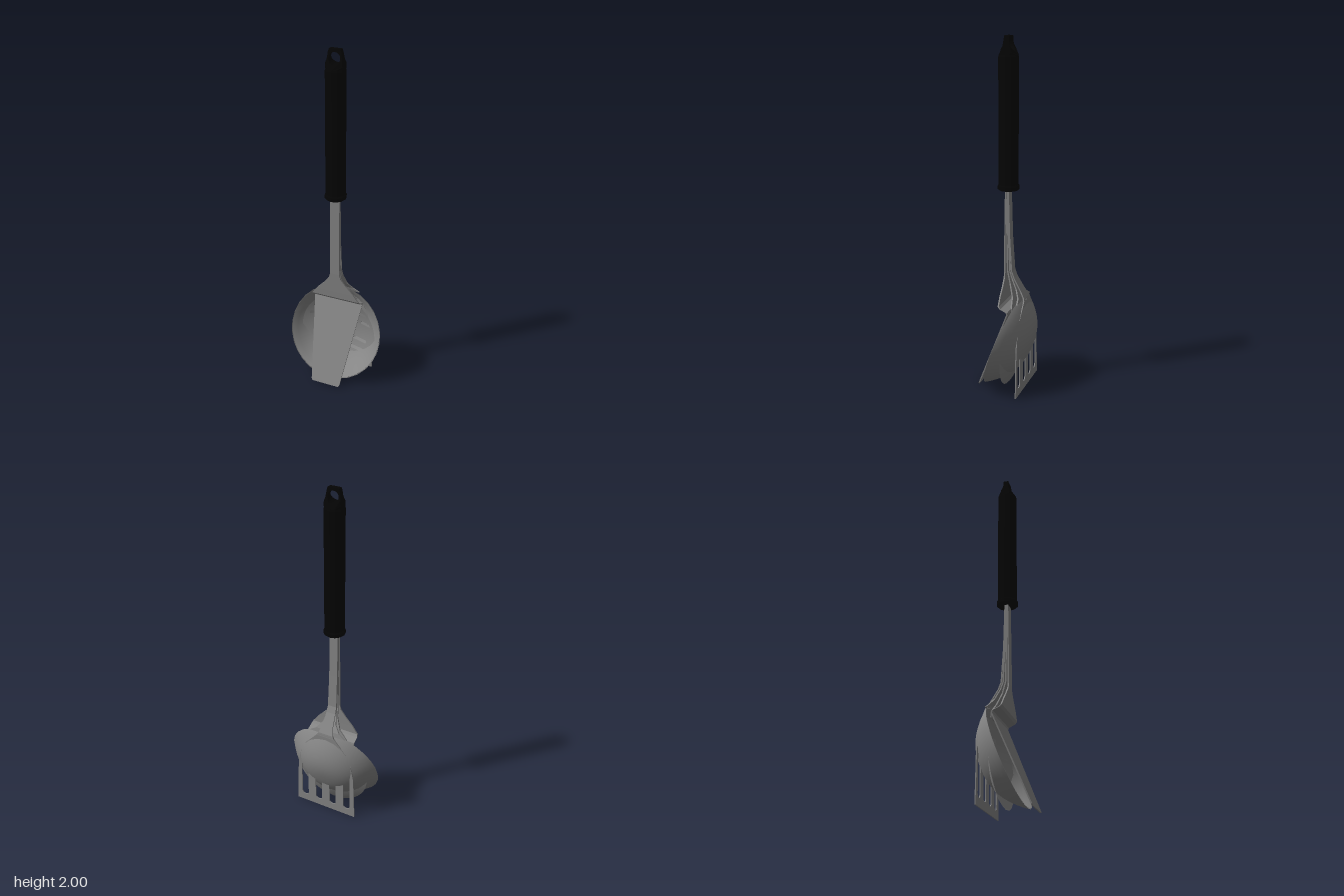
import * as THREE from 'three';

const steel = new THREE.MeshStandardMaterial({ color: 0x858585, side: THREE.DoubleSide });
const steelFlat = new THREE.MeshStandardMaterial({ color: 0x858585, flatShading: true });
const black = new THREE.MeshStandardMaterial({ color: 0x040404, flatShading: true });

function part(name, geometry, material, parent) {
  const mesh = new THREE.Mesh(geometry, material);
  mesh.name = name;
  parent.add(mesh);
  return mesh;
}

// Bent metal strip lofted through [y, z, halfWidth] sections from top to bottom
function strip(sections, t = 0.004) {
  const pos = [], index = [];
  sections.forEach(([y, z, w], i) => {
    pos.push(-w, y, z + t, w, y, z + t, w, y, z - t, -w, y, z - t);
    if (!i) return;
    const a = (i - 1) * 4, b = i * 4;
    for (let k = 0; k < 4; k++) {
      const n = (k + 1) % 4;
      index.push(a + k, b + k, b + n, a + k, b + n, a + n);
    }
  });
  const e = (sections.length - 1) * 4;
  index.push(0, 1, 2, 0, 2, 3, e, e + 2, e + 1, e, e + 3, e + 2);
  const g = new THREE.BufferGeometry();
  g.setAttribute('position', new THREE.Float32BufferAttribute(pos, 3));
  g.setIndex(index);
  g.computeVertexNormals();
  return g;
}

// Shallow oval bowl on a grid, with cells left out for two columns of slots
function slottedBowl() {
  const rows = 48, cols = 32, pos = [], index = [];
  const slotRows = [13, 19, 31, 37];
  for (let i = 0; i <= rows; i++) {
    const v = (i / rows) * 2 - 1;
    const half = 0.235 * Math.sqrt(Math.max(0, 1 - v * v));
    for (let j = 0; j <= cols; j++) {
      const u = (j / cols) * 2 - 1;
      const depth = 0.06 * (1 - v * v) * (1 - u * u);
      pos.push(u * half, 0.255 + 0.242 * v, -0.034 - 0.025 * v - depth);
      if (i === rows || j === cols) continue;
      const um = Math.abs(u + 1 / cols);
      const inSlotRow = slotRows.some((r) => i === r || i === r + 1);
      if (inSlotRow && um > 0.12 && um < (v < 0 ? 0.75 : 0.85)) continue;
      const a = i * (cols + 1) + j, b = a + cols + 1;
      index.push(a, a + 1, b + 1, a, b + 1, b);
    }
  }
  const g = new THREE.BufferGeometry();
  g.setAttribute('position', new THREE.Float32BufferAttribute(pos, 3));
  g.setIndex(index);
  g.computeVertexNormals();
  return g;
}

// Flat blade with four rounded upright slots
function slottedBlade() {
  const side = [[0.195, 0.003], [0.185, 0.28], [0.165, 0.38], [0.13, 0.45], [0.085, 0.5], [0.05, 0.54]];
  const outline = [...side, ...side.map(([x, y]) => [-x, y]).reverse()];
  const shape = new THREE.Shape(outline.map(([x, y]) => new THREE.Vector2(x, y)));
  for (let i = 0; i < 4; i++) {
    const x = (i - 1.5) * 0.094, r = 0.022;
    const hole = new THREE.Path();
    hole.absarc(x, 0.32, r, 0, Math.PI);
    hole.absarc(x, 0.07, r, Math.PI, Math.PI * 2);
    hole.closePath();
    shape.holes.push(hole);
  }
  const g = new THREE.ExtrudeGeometry(shape, { depth: 0.006, bevelEnabled: false, curveSegments: 6 });
  return g.translate(0, 0, -0.112);
}

// Hanging end: round at the grip, pinched thin at the tip, with a hole
function hangingEnd() {
  const side = [[0.05, 1.9], [0.048, 1.915], [0.046, 1.93], [0.043, 1.945], [0.041, 1.96], [0.037, 1.985], [0.032, 2]];
  const base = [[-0.025, 1.9], [0, 1.9], [0.025, 1.9]];
  const outline = [...base, ...side, ...side.map(([x, y]) => [-x, y]).reverse()];
  const shape = new THREE.Shape(outline.map(([x, y]) => new THREE.Vector2(x, y)));
  const hole = new THREE.Path();
  hole.absarc(0, 1.953, 0.032, 0, Math.PI * 2, true);
  shape.holes.push(hole);
  const g = new THREE.ExtrudeGeometry(shape, { depth: 2, bevelEnabled: false, curveSegments: 14 });
  g.translate(0, 0, -1);
  const p = g.attributes.position;
  for (let i = 0; i < p.count; i++) {
    const x = p.getX(i);
    const k = Math.min(1, Math.max(0, (p.getY(i) - 1.9) / 0.065));
    const half = 0.014 + 0.04 * (1 - k) ** 1.7;
    p.setZ(i, p.getZ(i) * Math.min(half, Math.sqrt(0.055 ** 2 - x * x)));
  }
  g.computeVertexNormals();
  return g;
}

export function createModel() {
  const model = new THREE.Group();
  model.name = 'kitchenUtensilSet';

  // Handle with collar
  const handle = new THREE.Group();
  handle.name = 'handle';
  model.add(handle);
  const gripProfile = [[0, 1.165], [0.052, 1.165], [0.061, 1.172], [0.061, 1.19], [0.056, 1.198],
    [0.056, 1.89], [0.05, 1.905], [0, 1.905]].map(([r, y]) => new THREE.Vector2(r, y));
  part('grip', new THREE.LatheGeometry(gripProfile, 12), black, handle);
  part('hangingEnd', hangingEnd(), black, handle);

  // Turner at the front: shaft, flared shoulder and sloping blade
  const turner = new THREE.Group();
  turner.name = 'turner';
  model.add(turner);
  part('turnerBlade', strip([[1.18, 0.008, 0.027], [0.9, 0.012, 0.028], [0.69, 0.014, 0.028], [0.66, 0.013, 0.036],
    [0.62, 0.012, 0.068], [0.57, 0.011, 0.115], [0.528, 0.009, 0.147], [0.515, -0.002, 0.152],
    [0.498, -0.04, 0.153], [0.485, -0.043, 0.151], [0.014, 0.15, 0.09], [0.004, 0.154, 0.083]]), steelFlat, turner);

  // Slotted spoon nested inside the ladle
  const spoon = new THREE.Group();
  spoon.name = 'slottedSpoon';
  model.add(spoon);
  part('slottedSpoonBowl', slottedBowl(), steel, spoon);
  part('slottedSpoonShaft', strip([[1.18, 0.002, 0.025], [0.9, 0.001, 0.025], [0.7, -0.003, 0.026],
    [0.63, -0.02, 0.032], [0.56, -0.044, 0.06], [0.51, -0.054, 0.11], [0.475, -0.06, 0.105]]), steelFlat, spoon);

  // Ladle: deep round bowl, tipped up towards the front
  const ladle = new THREE.Group();
  ladle.name = 'ladle';
  model.add(ladle);
  const wall = (radius, depth) => Array.from({ length: 13 }, (_, i) =>
    new THREE.Vector2(radius * i / 12, -depth * (1 - (i / 12) ** 2.6)));
  const bowlProfile = [...wall(0.285, 0.152), ...wall(0.279, 0.146).reverse()];
  const bowl = part('ladleBowl', new THREE.LatheGeometry(bowlProfile, 28), steel, ladle);
  bowl.position.set(0, 0.284, 0.01);
  bowl.rotation.x = 1.229;
  part('ladleShaft', strip([[1.18, -0.002, 0.025], [0.9, -0.008, 0.025], [0.7, -0.017, 0.026],
    [0.66, -0.03, 0.028], [0.6, -0.06, 0.042], [0.56, -0.082, 0.075], [0.535, -0.088, 0.115]]), steelFlat, ladle);

  // Slotted turner at the back
  const slotted = new THREE.Group();
  slotted.name = 'slottedTurner';
  model.add(slotted);
  part('slottedTurnerBlade', slottedBlade(), steelFlat, slotted);
  part('slottedTurnerShaft', strip([[1.18, -0.006, 0.025], [0.9, -0.014, 0.025], [0.7, -0.027, 0.027],
    [0.66, -0.042, 0.028], [0.59, -0.083, 0.034], [0.55, -0.106, 0.046], [0.53, -0.109, 0.058]]), steelFlat, slotted);

  return model;
}
